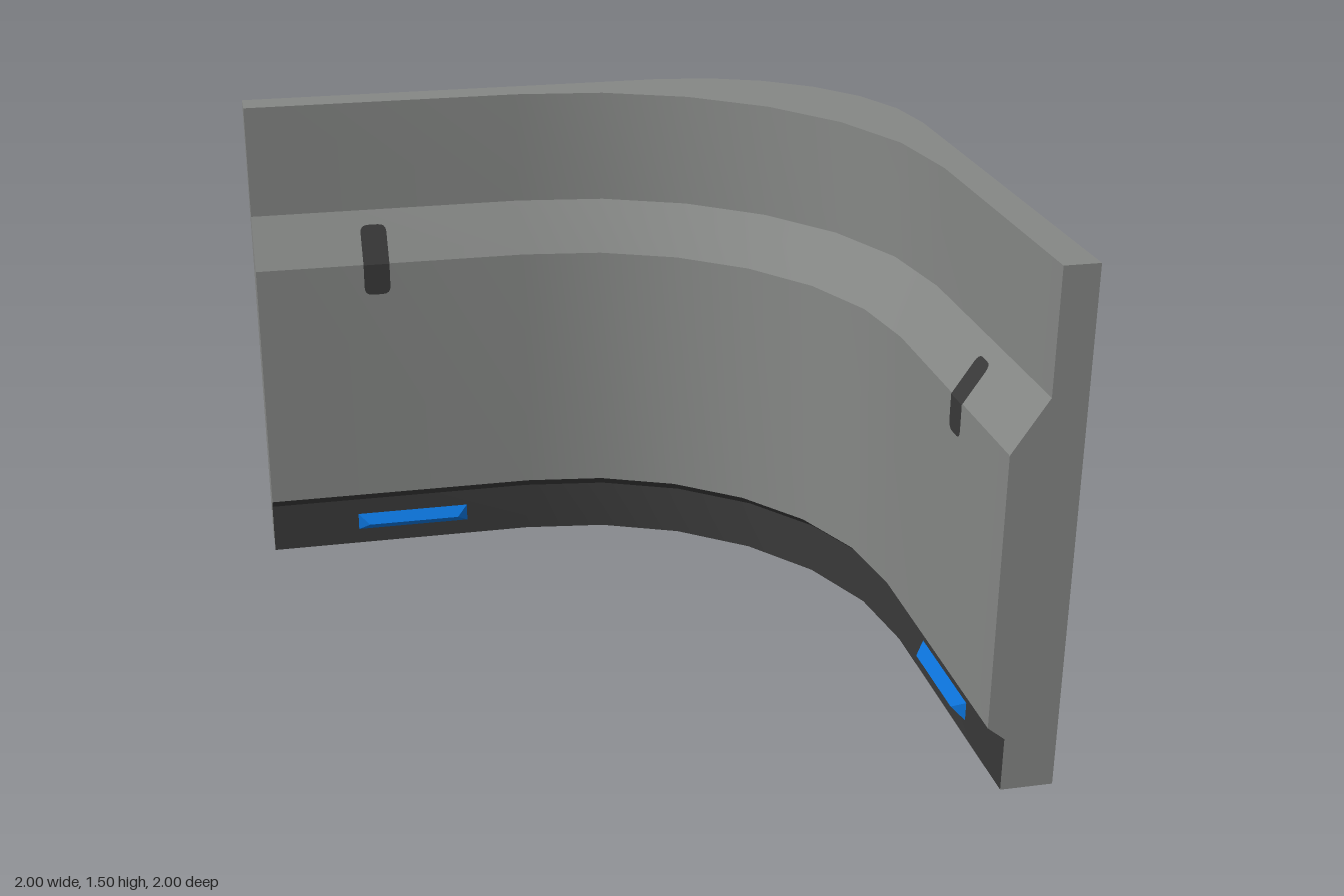
import * as THREE from 'three';
import { toCreasedNormals, mergeGeometries } from 'three/addons/utils/BufferGeometryUtils.js';

const grey = new THREE.MeshStandardMaterial({ color: 0x858785 });
grey.name = 'wall grey';
const black = new THREE.MeshStandardMaterial({ color: 0x393939 });
black.name = 'trim black';
const blue = new THREE.MeshStandardMaterial({ color: 0x0b70d4 });
blue.name = 'lamp blue';

// Wall cross-section as [distance from centre, height]
const SECTION = [
  [1, 0], [0.85, 0], [0.85, 0.16], [0.8, 0.2],
  [0.8, 1], [0.9, 1.15], [0.9, 1.5], [1, 1.5],
];

// Plan path of one section point: straight, six-sided quarter bend, straight
function path([d, y]) {
  const c = d === 1 ? 0.32 : -0.15;
  const r = d - c;
  const points = [[d, y, 1]];
  for (let i = 0; i <= 6; i++) {
    const a = (i / 6) * Math.PI / 2;
    points.push([c + r * Math.cos(a), y, -c - r * Math.sin(a)]);
  }
  points.push([-1, y, -d]);
  return points;
}

// Sweeps the listed section edges along the bend
function sweep(edges) {
  const pos = [];
  for (const k of edges) {
    const p = path(SECTION[k]);
    const q = path(SECTION[(k + 1) % SECTION.length]);
    for (let i = 0; i < p.length - 1; i++) {
      pos.push(...p[i], ...q[i], ...q[i + 1], ...p[i], ...q[i + 1], ...p[i + 1]);
    }
  }
  const g = new THREE.BufferGeometry();
  g.setAttribute('position', new THREE.Float32BufferAttribute(pos, 3));
  return toCreasedNormals(g, 0.5);
}

function endCap(sign) {
  return new THREE.ShapeGeometry(
    new THREE.Shape(SECTION.map(([d, y]) => new THREE.Vector2(sign * d, y))));
}

// Lamp with four sloping faces meeting at a ridge
function lampGeometry() {
  const w = 0.183, h = 0.028, t = 0.032;
  const A = [-w, -h, 0], B = [w, -h, 0], C = [w, h, 0], D = [-w, h, 0];
  const L = [-w + 0.035, 0, t], R = [w - 0.035, 0, t];
  const g = new THREE.BufferGeometry();
  g.setAttribute('position', new THREE.Float32BufferAttribute([
    A, B, R, A, R, L, C, D, L, C, L, R, B, C, R, D, A, L].flat(), 3));
  g.computeVertexNormals();
  return g;
}

// Slot marking, folded where the wall slopes back
function slotGeometry() {
  const half = (h) => {
    const w = 0.041, r = 0.025;
    const s = new THREE.Shape();
    s.moveTo(-w, 0);
    s.lineTo(w, 0);
    s.lineTo(w, h - r);
    s.quadraticCurveTo(w, h, w - r, h);
    s.lineTo(-w + r, h);
    s.quadraticCurveTo(-w, h, -w, h - r);
    return new THREE.ShapeGeometry(s, 4);
  };
  const lower = half(0.1).rotateZ(Math.PI);
  const upper = half(0.132).rotateX(-Math.atan2(0.1, 0.15));
  return mergeGeometries([lower, upper]).translate(0, 0, 0.004);
}

export function createModel() {
  const group = new THREE.Group();
  const add = (name, geometry, material) => {
    const m = new THREE.Mesh(geometry, material);
    m.name = name;
    group.add(m);
    return m;
  };

  add('curvedWall', sweep([0, 3, 4, 5, 6, 7]), grey);
  add('skirting', sweep([1, 2]), black);
  add('leftWallEnd', endCap(1).translate(0, 0, 1), grey);
  add('backWallEnd', endCap(-1).rotateY(-Math.PI / 2).translate(-1, 0, 0), grey);

  // The same fittings on both straight runs of wall
  const fit = (name, geometry, material, along, y, d) => {
    add('back' + name, geometry, material).position.set(-along, y, -d);
    const side = add('left' + name, geometry, material);
    side.position.set(d, y, along);
    side.rotation.y = -Math.PI / 2;
  };
  fit('Lamp', lampGeometry(), blue, 0.535, 0.078, 0.85);
  fit('Slot', slotGeometry(), black, 0.622, 1, 0.8);
  return group;
}
